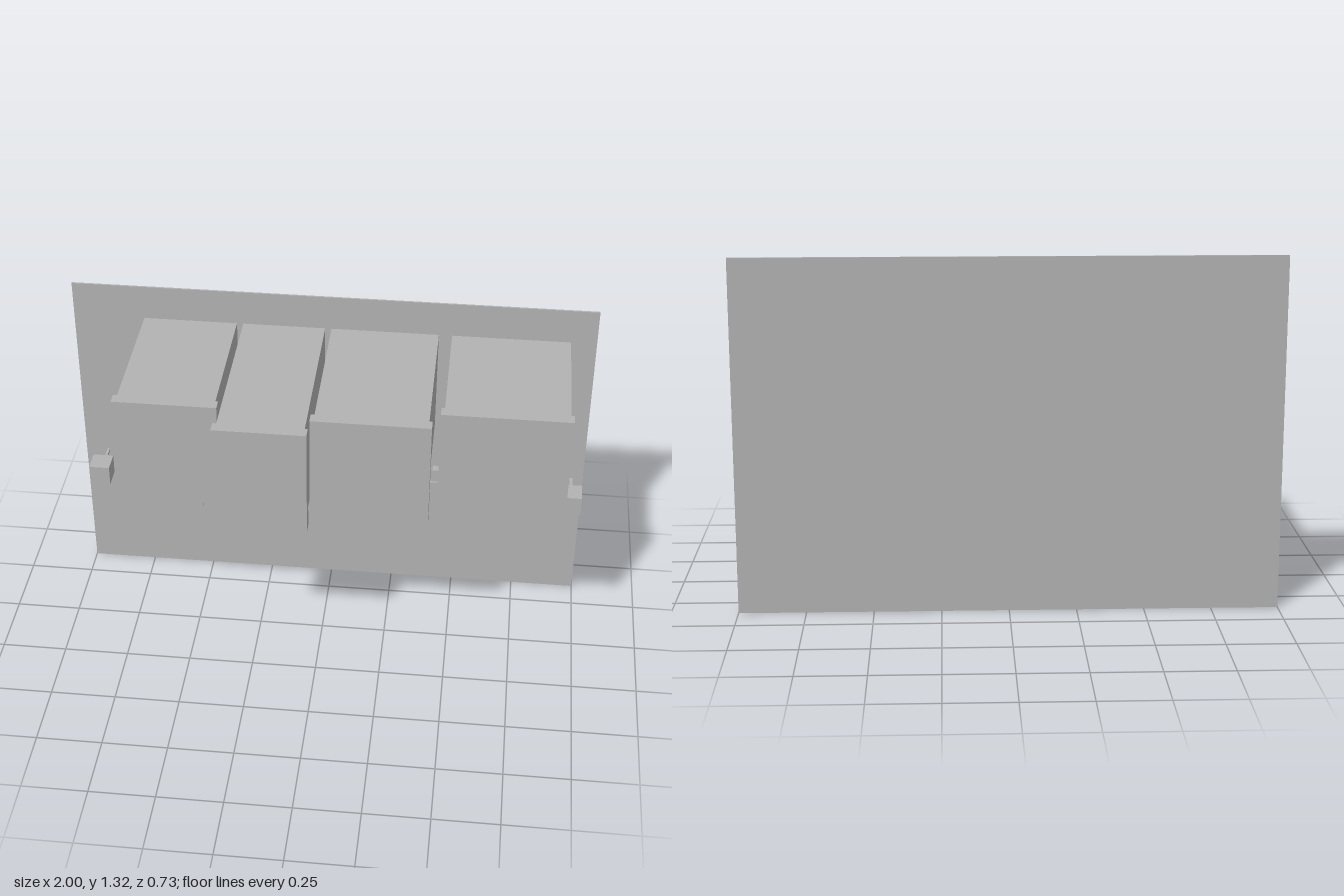
import * as THREE from 'three';

export function createModel() {
  const root = new THREE.Group();
  const grey = new THREE.MeshStandardMaterial({ color: 0xb2b2b2 });
  grey.name = 'plain grey';

  // Box given by its minimum and maximum on each axis
  function box(parent, name, [x0, x1], [y0, y1], [z0, z1]) {
    const mesh = new THREE.Mesh(new THREE.BoxGeometry(x1 - x0, y1 - y0, z1 - z0), grey);
    mesh.position.set((x0 + x1) / 2, (y0 + y1) / 2, (z0 + z1) / 2);
    mesh.name = name;
    parent.add(mesh);
  }
  function group(name) {
    const g = new THREE.Group();
    g.name = name;
    root.add(g);
    return g;
  }

  const wallFace = -0.36;
  box(root, 'wall', [-1, 1], [0, 1.322], [-0.367, wallFace]);

  // Projecting cabinets: left edge, right edge and front of each front panel
  const cabinets = [
    [-0.738, -0.355, 0.23],
    [-0.355, -0.016, 0.367],
    [-0.016, 0.417, 0.275],
    [0.443, 0.915, 0.185],
  ];
  for (const [x0, x1, front] of cabinets) {
    const g = group('cabinet');
    box(g, 'cabinetBody', [x0 + 0.012, x1 - 0.012], [0.775, 1.185], [wallFace, front - 0.044]);
    box(g, 'frontPanel', [x0, x1], [0.768, 1.194], [front - 0.044, front]);
    // Thin strips under the cabinet
    const a = x0 + 0.04, b = x1 - 0.042, w = b - a;
    box(g, 'frontStrip', [a, b], [0.759, 0.767], [-0.055, 0.04]);
    box(g, 'middleStrip', [a + w * 0.23, b - w * 0.23], [0.759, 0.767], [-0.23, -0.127]);
    box(g, 'backStrip', [a, b], [0.759, 0.767], [wallFace, -0.23]);
    for (const t of [0.14, 0.65]) {
      box(g, 'stripFoot', [a + w * (t - 0.13), a + w * (t + 0.13)], [0.751, 0.761], [-0.23, -0.21]);
    }
  }

  // Square plates standing off the wall on mounts
  for (const x of [-0.604, -0.241, 0.122, 0.485]) {
    const g = group('plateFixture');
    box(g, 'mount', [x - 0.08, x + 0.08], [0.412, 0.572], [wallFace, -0.328]);
    box(g, 'stem', [x - 0.004, x + 0.004], [0.485, 0.493], [-0.328, -0.231]);
    box(g, 'squarePlate', [x - 0.096, x + 0.096], [0.396, 0.59], [-0.231, -0.223]);
  }

  // Cube knobs at both ends
  for (const x of [-0.911, 0.954]) {
    const g = group('knob');
    box(g, 'knobStem', [x - 0.005, x + 0.005], [0.545, 0.555], [wallFace, -0.266]);
    box(g, 'knobCube', [x - 0.04, x + 0.04], [0.509, 0.589], [-0.266, -0.18]);
  }
  return root;
}
